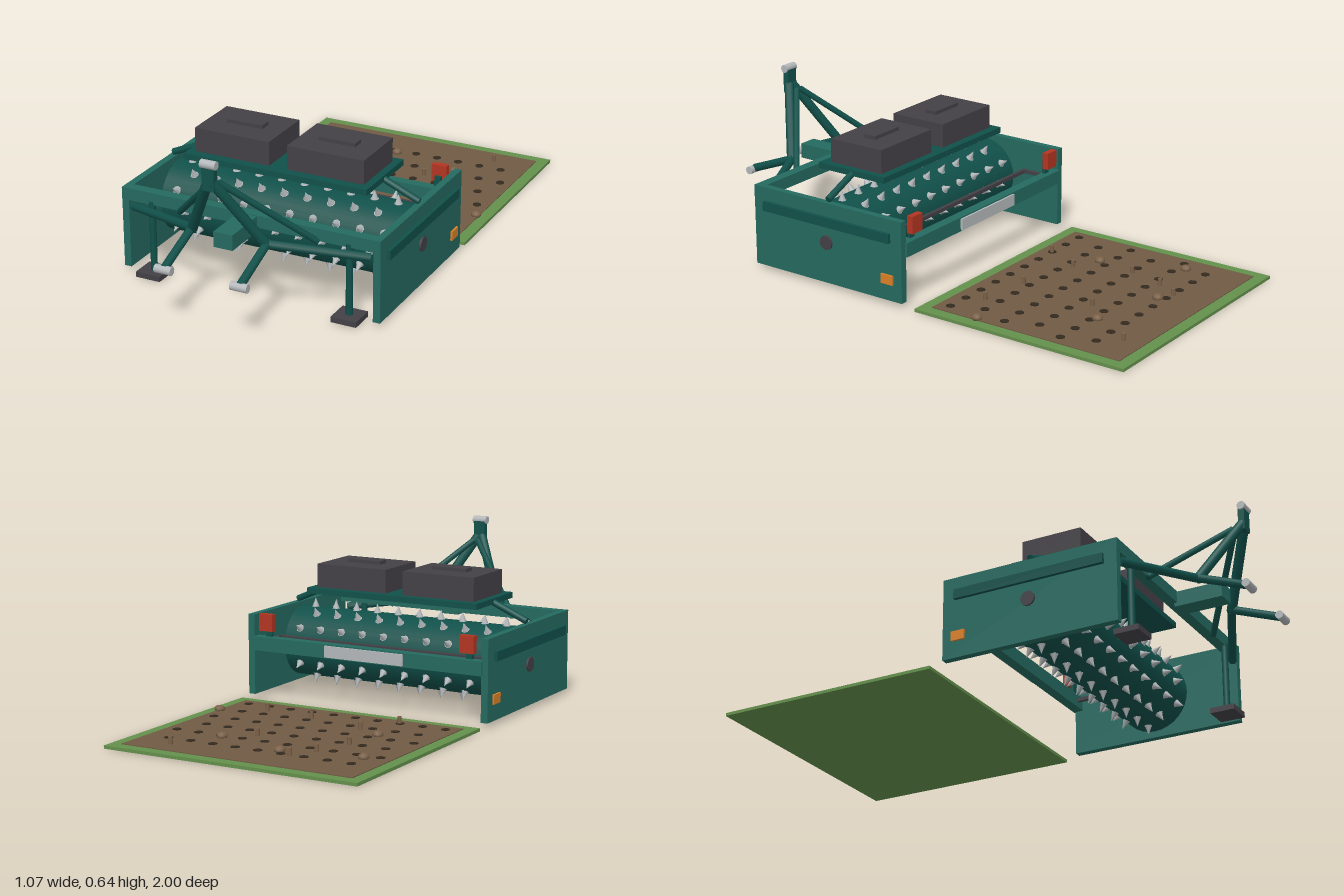
import * as THREE from 'three';

const mat = (name, color) => {
  const m = new THREE.MeshStandardMaterial({ color });
  m.name = name;
  return m;
};

export function createModel() {
  const root = new THREE.Group();
  root.name = 'lawnAerator';
  const green = mat('frame green', 0x24695f);
  const darkGreen = mat('dark green', 0x11504a);
  const charcoal = mat('charcoal', 0x434146);
  const steel = mat('steel', 0xb4b8ba);
  const grass = mat('grass green', 0x64904c);
  const soil = mat('soil brown', 0x705a44);
  const hole = mat('hole brown', 0x33291f);
  const clod = mat('clod brown', 0x7a6048);
  const red = mat('lamp red', 0xb23522);
  const orange = mat('marker orange', 0xd98028);

  const add = (name, geometry, material, x = 0, y = 0, z = 0) => {
    const m = new THREE.Mesh(geometry, material);
    m.name = name;
    m.position.set(x, y, z);
    root.add(m);
    return m;
  };
  // Box given by its low and high limits on each axis
  const box = (name, material, x0, x1, y0, y1, z0, z1) =>
    add(name, new THREE.BoxGeometry(x1 - x0, y1 - y0, z1 - z0), material,
      (x0 + x1) / 2, (y0 + y1) / 2, (z0 + z1) / 2);
  // The same box on both sides
  const pair = (name, material, x0, x1, ...rest) => {
    box(name, material, x0, x1, ...rest);
    box(name, material, -x1, -x0, ...rest);
  };
  const rod = (name, material, a, b, r, sides = 10) => {
    const p = new THREE.Vector3(...a), q = new THREE.Vector3(...b);
    const d = q.clone().sub(p);
    const m = add(name, new THREE.CylinderGeometry(r, r, d.length(), sides), material);
    m.position.copy(p).add(q).multiplyScalar(0.5);
    m.quaternion.setFromUnitVectors(new THREE.Vector3(0, 1, 0), d.normalize());
    return m;
  };
  const staggered = (odd) => {
    const n = odd ? 9 : 10;
    return Array.from({ length: n }, (_, i) => (i - (n - 1) / 2) * 0.095);
  };

  // Lawn patch
  box('grassPatch', grass, -0.52, 0.52, 0, 0.012, -1, -0.105);
  box('soilBed', soil, -0.475, 0.475, 0.01, 0.015, -0.955, -0.15);
  const holeGeo = new THREE.CylinderGeometry(0.017, 0.017, 0.004, 8);
  for (let r = 0; r < 6; r++) {
    for (const x of staggered(r % 2 === 0)) add('soilHole', holeGeo, hole, x, 0.0155, -0.8 + r * 0.12);
  }
  // Pulled soil plugs and loose clods
  const plugGeo = new THREE.CylinderGeometry(0.008, 0.009, 0.03, 7);
  [[0.32, -0.875], [-0.135, -0.805], [-0.19, -0.715], [0.12, -0.615], [-0.235, -0.565],
    [-0.155, -0.35], [0.09, -0.29], [0.3, -0.265], [-0.235, -0.2]]
    .forEach(([x, z]) => add('soilPlug', plugGeo, clod, x, 0.028, z));
  const clodGeo = new THREE.SphereGeometry(0.021, 10, 7);
  [[-0.075, -0.775], [-0.38, -0.715], [0.217, -0.7], [-0.26, -0.405], [0.465, -0.345]]
    .forEach(([x, z]) => add('soilClod', clodGeo, clod, x, 0.021, z).scale.set(1, 0.7, 1));

  // Main frame
  pair('sidePlate', green, 0.495, 0.523, 0.018, 0.335, -0.05, 0.65);
  box('frontBeam', green, -0.523, 0.523, 0.288, 0.335, 0.61, 0.651);
  box('rearBeam', green, -0.5, 0.5, 0.195, 0.25, -0.058, -0.018);
  pair('sideRail', darkGreen, 0.523, 0.537, 0.245, 0.282, 0, 0.6);
  pair('sideMarker', orange, 0.523, 0.531, 0.083, 0.12, -0.012, 0.042);
  box('rearPlate', steel, -0.17, 0.17, 0.2, 0.245, -0.066, -0.058);
  pair('tailLamp', red, 0.408, 0.468, 0.275, 0.342, -0.06, -0.035);
  pair('lampBracket', darkGreen, 0.425, 0.45, 0.24, 0.3, -0.035, -0.022);
  // Rear scraper bar
  pair('scraperArm', charcoal, 0.453, 0.467, 0.22, 0.234, -0.02, 0.095);
  box('scraperBar', charcoal, -0.467, 0.467, 0.22, 0.234, 0.082, 0.097);

  // Spiked drum
  rod('drum', darkGreen, [-0.488, 0.18, 0.3], [0.488, 0.18, 0.3], 0.14, 32);
  rod('axle', charcoal, [-0.531, 0.18, 0.3], [0.531, 0.18, 0.3], 0.028, 14);
  const spikeGeo = new THREE.ConeGeometry(0.016, 0.042, 8);
  const collarGeo = new THREE.CylinderGeometry(0.016, 0.011, 0.012, 8);
  for (let k = 0; k < 12; k++) {
    const a = k * Math.PI / 6;
    for (const x of staggered(k % 2 === 0)) {
      for (const [name, geo, r] of [['spike', spikeGeo, 0.155], ['spikeCollar', collarGeo, 0.134]]) {
        const m = add(name, geo, steel, x, 0.18 + r * Math.sin(a), 0.3 + r * Math.cos(a));
        m.rotation.x = Math.PI / 2 - a;
      }
    }
  }

  // Weight tray and ballast
  box('weightTray', darkGreen, -0.374, 0.374, 0.4, 0.423, 0.145, 0.455);
  pair('ballastWeight', charcoal, 0.037, 0.345, 0.423, 0.516, 0.178, 0.418);
  pair('ballastHandle', charcoal, 0.116, 0.263, 0.516, 0.53, 0.272, 0.321);

  // Hitch
  box('hitchBox', green, -0.038, 0.038, 0.273, 0.332, 0.64, 0.83);
  box('mast', darkGreen, -0.024, 0.024, 0.53, 0.622, 0.9, 0.925);
  rod('topPin', steel, [-0.03, 0.626, 0.915], [0.03, 0.626, 0.915], 0.016, 14);
  for (const s of [-1, 1]) {
    rod('trayArm', darkGreen, [s * 0.365, 0.407, 0.3], [s * 0.51, 0.345, 0.3], 0.013);
    rod('mastLeg', darkGreen, [s * 0.15, 0.3, 0.785], [s * 0.008, 0.56, 0.91], 0.019);
    rod('mastBrace', darkGreen, [s * 0.28, 0.285, 0.65], [s * 0.01, 0.545, 0.87], 0.012);
    rod('crossArm', darkGreen, [s * 0.15, 0.305, 0.785], [s * 0.48, 0.262, 0.64], 0.016);
    rod('lowerLink', darkGreen, [s * 0.15, 0.31, 0.775], [s * 0.15, 0.23, 0.982], 0.016);
    rod('linkEnd', steel, [s * 0.117, 0.227, 0.984], [s * 0.183, 0.227, 0.984], 0.016, 14);
    // Parking stand
    rod('standLeg', darkGreen, [s * 0.4, 0.02, 0.643], [s * 0.4, 0.3, 0.643], 0.013);
  }
  pair('standFoot', charcoal, 0.35, 0.45, 0.004, 0.025, 0.595, 0.692);

  return root;
}
